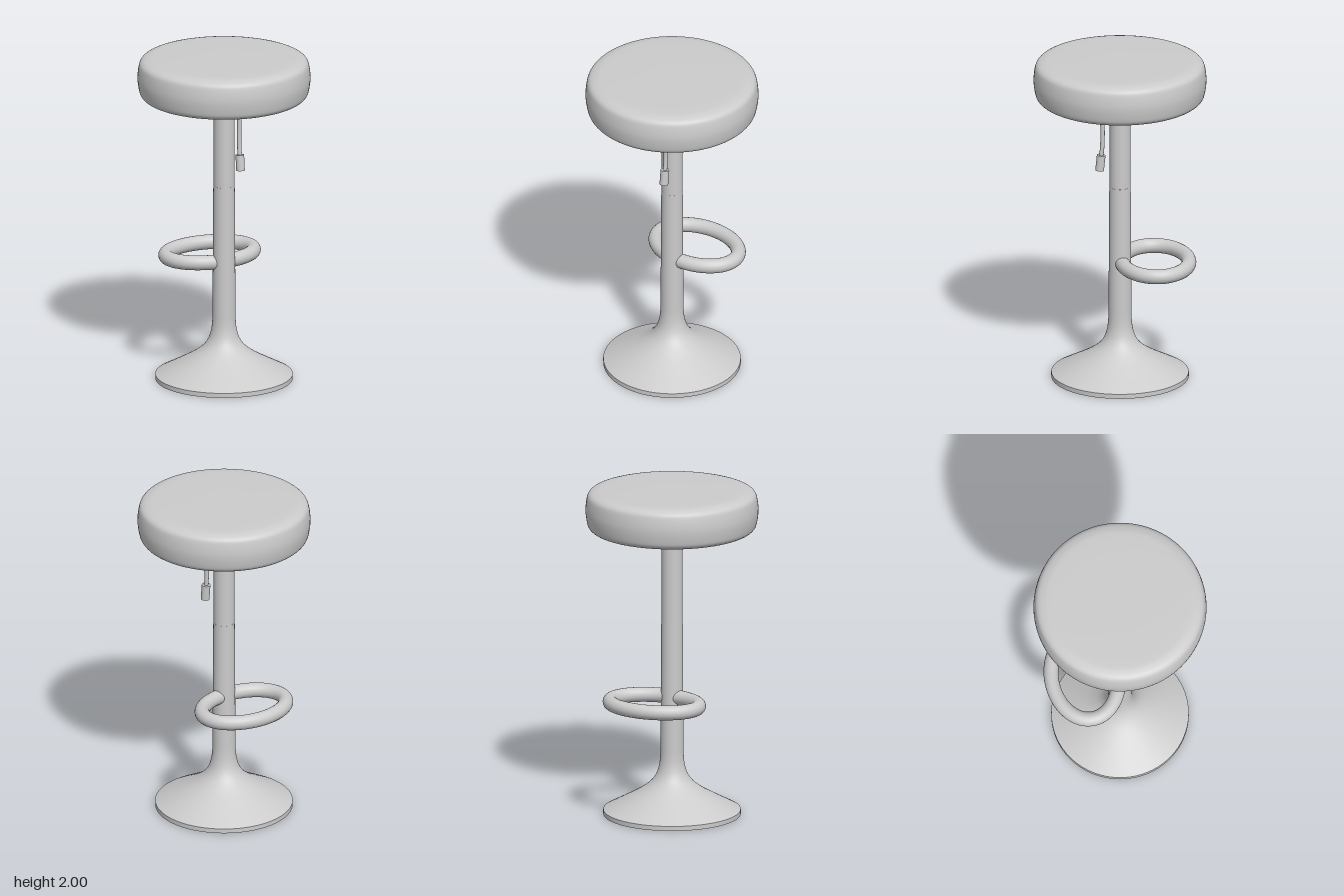
import * as THREE from 'three';

const material = new THREE.MeshStandardMaterial({ color: 0xcccccc });

function add(group, name, geometry) {
  const mesh = new THREE.Mesh(geometry, material);
  mesh.name = name;
  group.add(mesh);
  return mesh;
}

const vec = (list) => list.map(([r, y]) => new THREE.Vector2(r, y));

// Smooth revolved profile through a few points, with flat caps and crisp rims
function addRevolved(group, name, points, segments = 72) {
  const part = new THREE.Group();
  part.name = name;
  const curve = new THREE.SplineCurve(vec(points));
  add(part, name + 'Surface', new THREE.LatheGeometry(curve.getPoints(points.length * 5), segments));
  group.add(part);
  return part;
}

// Flat disc facing up or down
function addDisc(group, name, radius, y, facing) {
  const disc = add(group, name, new THREE.CircleGeometry(radius, 72));
  disc.rotation.x = -facing * Math.PI / 2;
  disc.position.y = y;
}

export function createModel() {
  const model = new THREE.Group();
  model.name = 'barStool';

  // Padded round seat with softly rounded rims
  addRevolved(model, 'seat', [
    [0, 1.742], [0.2, 1.742], [0.4, 1.744], [0.46, 1.75], [0.493, 1.768], [0.507, 1.80],
    [0.516, 1.87], [0.509, 1.94], [0.495, 1.973], [0.46, 1.99], [0.4, 1.997], [0.2, 2.0], [0, 2.0],
  ], 96);

  // Bowl-shaped hub under the seat
  const hub = addRevolved(model, 'hub', [
    [0.082, 1.652], [0.105, 1.665], [0.128, 1.692], [0.142, 1.72], [0.146, 1.75],
  ]);
  addDisc(hub, 'hubBottom', 0.082, 1.652, -1);

  // Gas-lift column: slimmer tube above the fixed sleeve
  const upper = add(model, 'upperColumn', new THREE.CylinderGeometry(0.063, 0.063, 0.5, 48, 1, true));
  upper.position.y = 1.45;
  const sleeve = add(model, 'lowerColumn', new THREE.CylinderGeometry(0.064, 0.069, 0.84, 48));
  sleeve.position.y = 0.78;

  // Trumpet base with a thin vertical rim and a flat underside
  const base = addRevolved(model, 'base', [
    [0.41, 0.028], [0.35, 0.06], [0.27, 0.103], [0.19, 0.15], [0.13, 0.197],
    [0.095, 0.245], [0.077, 0.30], [0.07, 0.36], [0.069, 0.42],
  ]);
  const rim = add(base, 'baseRim', new THREE.CylinderGeometry(0.41, 0.41, 0.028, 72, 1, true));
  rim.position.y = 0.014;
  addDisc(base, 'baseBottom', 0.41, 0, -1);

  // Oval footrest ring passing through the column
  const oval = [];
  for (let i = 0; i < 32; i++) {
    const a = (i / 32) * Math.PI * 2;
    oval.push(new THREE.Vector3(0.015 + 0.277 * Math.cos(a), 0.725, -0.21 + 0.2 * Math.sin(a)));
  }
  add(model, 'footrest', new THREE.TubeGeometry(new THREE.CatmullRomCurve3(oval, true), 96, 0.044, 20, true));

  // Height lever: thin rod bending out of the hub, ending in a grip
  const rodPath = new THREE.CatmullRomCurve3([
    [1.715, 0.07], [1.702, 0.095], [1.67, 0.107], [1.55, 0.107], [1.46, 0.11], [1.40, 0.117],
  ].map(([y, z]) => new THREE.Vector3(0.045, y, z)));
  add(model, 'leverRod', new THREE.TubeGeometry(rodPath, 32, 0.013, 12));
  const grip = add(model, 'leverGrip', new THREE.CylinderGeometry(0.026, 0.026, 0.096, 20));
  grip.position.set(0.045, 1.368, 0.12);
  grip.rotation.x = -0.1;
  grip.rotation.x *= -1; // lower end swings outward
  grip.rotation.x = -Math.abs(grip.rotation.x);

  return model;
}
